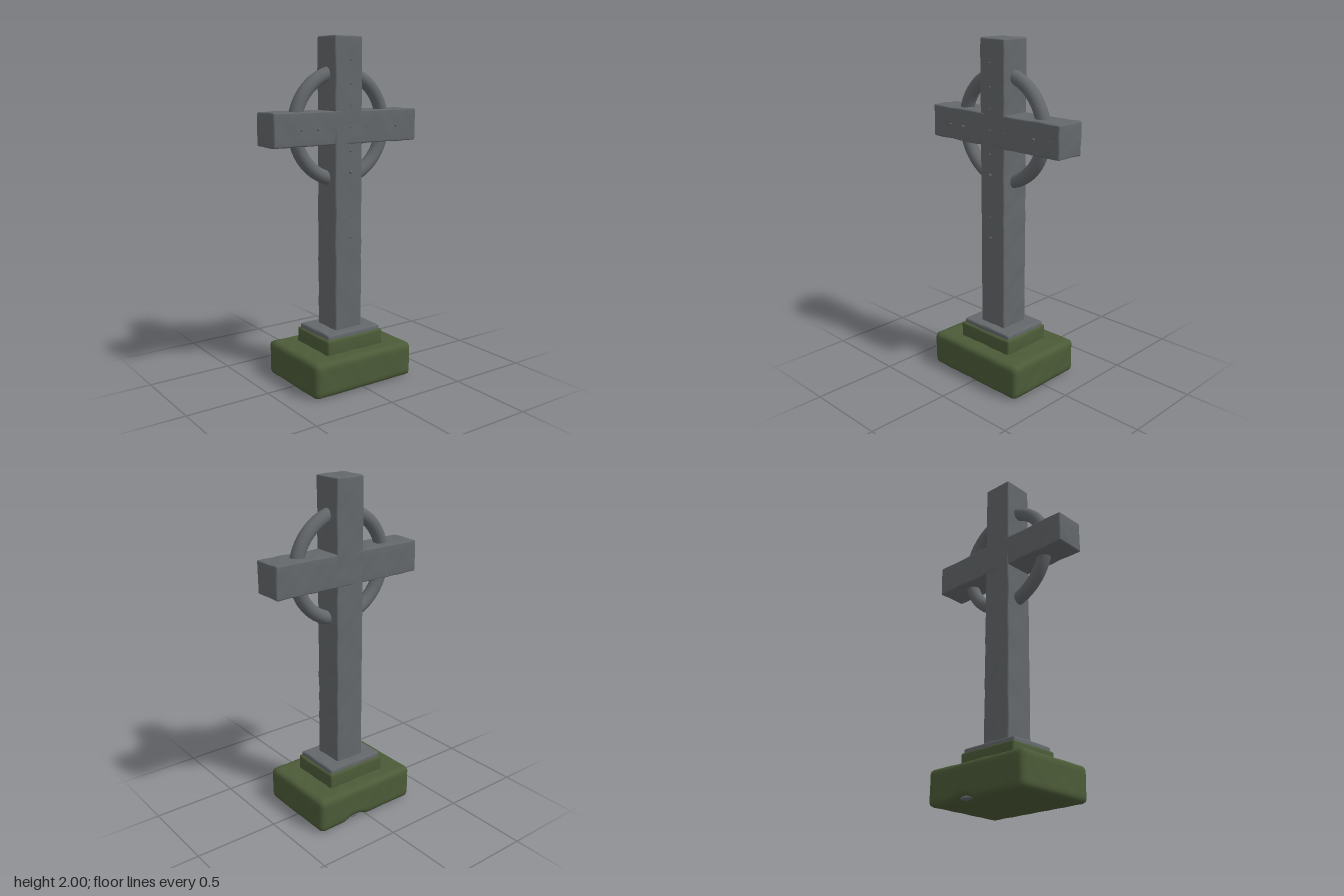
import * as THREE from 'three';
import { mergeVertices } from 'three/addons/utils/BufferGeometryUtils.js';

// Small smooth unevenness for hand-hewn stone
const wobble = (a, b, s) => Math.sin(a * 23 + s) * Math.cos(b * 17 + s * 2) + 0.5 * Math.sin(a * 51 + b * 43 + s);

// Box spanning [x, y0..y1, z], with softened edges and a slightly uneven surface
function stoneBlock(hx, y0, y1, hz, radius, rough, seed, rule) {
  const size = [hx * 2, y1 - y0, hz * 2];
  const seg = size.map((s) => Math.max(4, Math.min(48, Math.ceil(s / 0.025))));
  let geo = new THREE.BoxGeometry(...size, ...seg);
  geo.deleteAttribute('normal');
  geo.deleteAttribute('uv');
  geo = mergeVertices(geo);
  const half = new THREE.Vector3(...size).multiplyScalar(0.5);
  const inner = half.clone().subScalar(radius);
  const pos = geo.attributes.position;
  const p = new THREE.Vector3(), core = new THREE.Vector3(), out = new THREE.Vector3();
  for (let i = 0; i < pos.count; i++) {
    p.fromBufferAttribute(pos, i);
    // Slide the rows next to an edge onto the start of the rounding
    ['x', 'y', 'z'].forEach((k, j) => {
      const step = size[j] / seg[j];
      const fromEdge = half[k] - Math.abs(p[k]);
      if (fromEdge > 1e-5 && fromEdge < step * 1.01) p[k] = Math.sign(p[k]) * inner[k];
    });
    core.copy(p).clamp(inner.clone().negate(), inner);
    out.copy(p).sub(core).normalize();
    p.copy(core).addScaledVector(out, radius);
    p.x += out.x * rough * wobble(p.y, p.z, seed);
    p.y += out.y * rough * wobble(p.x, p.z, seed + 1);
    p.z += out.z * rough * wobble(p.x, p.y, seed + 2);
    p.y += (y0 + y1) / 2;
    if (rule) rule(p);
    pos.setXYZ(i, p.x, p.y, p.z);
  }
  geo.computeVertexNormals();
  return geo;
}

export function createModel() {
  const stone = new THREE.MeshStandardMaterial({ color: 0x64686b });
  stone.name = 'grey stone';
  const moss = new THREE.MeshStandardMaterial({ color: 0x4c5b38 });
  moss.name = 'moss green';

  const group = new THREE.Group();
  group.name = 'ringedStoneCross';
  const add = (name, geo, mat, parent = group) => {
    const mesh = new THREE.Mesh(geo, mat);
    mesh.name = name;
    parent.add(mesh);
    return mesh;
  };

  // Mossy base, with a shallow hollow under its back edge
  const hollow = (p) => {
    if (p.y > 0.06) return;
    const d = Math.hypot((p.x - 0.08) / 0.08, (p.z + 0.25) / 0.08);
    if (d < 1) p.y += 0.025 * (1 - d * d);
  };
  add('base', stoneBlock(0.34, 0.006, 0.21, 0.26, 0.026, 0.0015, 1, hollow), moss);
  add('step', stoneBlock(0.196, 0.19, 0.295, 0.163, 0.012, 0.0015, 4), moss);
  const pebble = add('hollowStone', new THREE.SphereGeometry(0.04, 16, 10), stone);
  pebble.scale.set(1, 0.3, 0.6);
  pebble.position.set(0.08, 0.022, -0.222);

  // Cross
  add('plinth', stoneBlock(0.183, 0.27, 0.322, 0.149, 0.01, 0.002, 7), stone);
  add('shaft', stoneBlock(0.092, 0.28, 2, 0.092, 0.008, 0.002, 2), stone);
  add('arms', stoneBlock(0.488, 1.403, 1.59, 0.092, 0.008, 0.002, 5), stone);

  // Ring around the crossing
  const ring = add('ring', new THREE.TorusGeometry(0.305, 0.04, 16, 72), stone);
  ring.position.set(0, 1.5, 0);

  // Tiny beads standing just off the front face: [x, y, radius]
  const beads = new THREE.Group();
  beads.name = 'frontBeads';
  group.add(beads);
  const spots = [
    [0, 1.87, 0.005], [0, 1.74, 0.005], [0, 1.62, 0.005], [0, 1.5, 0.005],
    [0, 1.365, 0.006], [0, 1.245, 0.009], [0, 0.995, 0.005], [0, 0.872, 0.007],
    [-0.325, 1.495, 0.006], [-0.218, 1.495, 0.008], [-0.11, 1.5, 0.004],
    [0.108, 1.5, 0.004], [0.325, 1.497, 0.008], [0.437, 1.5, 0.003],
  ];
  for (const [x, y, r] of spots) {
    add('bead', new THREE.SphereGeometry(r, 10, 8), stone, beads).position.set(x, y, 0.108);
  }
  return group;
}
